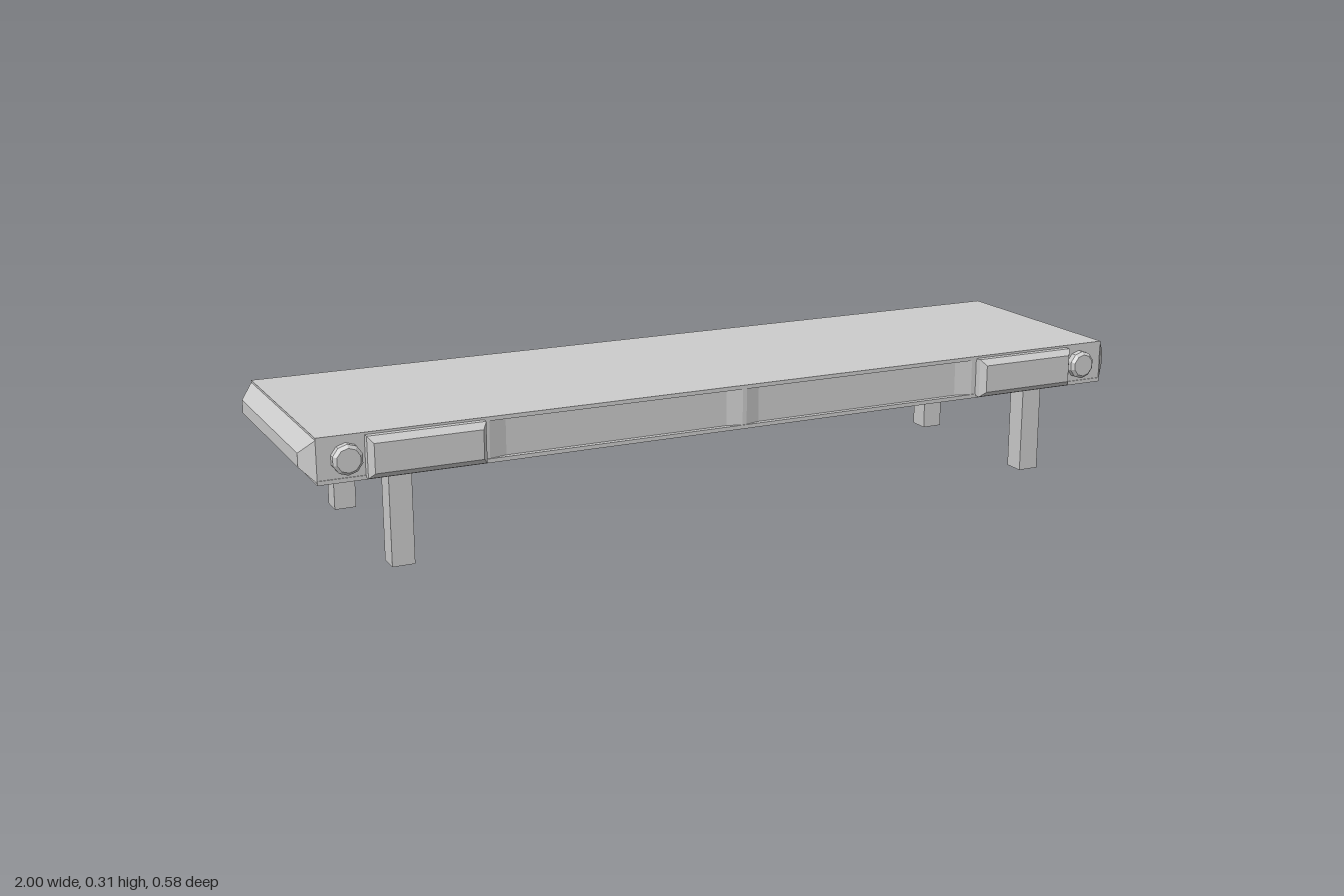
import * as THREE from 'three';

const material = new THREE.MeshStandardMaterial({ color: 0xcccccc, flatShading: true });

// Box whose +z face is narrowed; the base lies on z = 0
function taperedBox(w, h, d, topW, topH) {
  const g = new THREE.BoxGeometry(w, h, d).translate(0, 0, d / 2);
  const p = g.attributes.position;
  for (let i = 0; i < p.count; i++) {
    if (p.getZ(i) > d / 2) {
      p.setX(i, Math.sign(p.getX(i)) * topW / 2);
      p.setY(i, Math.sign(p.getY(i)) * topH / 2);
    }
  }
  g.computeVertexNormals();
  return g;
}

export function createModel() {
  const group = new THREE.Group();
  const add = (name, geometry, x, y, z, parent = group) => {
    const mesh = new THREE.Mesh(geometry, material);
    mesh.name = name;
    mesh.position.set(x, y, z);
    parent.add(mesh);
    return mesh;
  };
  const midY = 0.255;

  // Deck core: plan outline with two shallow bevelled recesses per long side
  const edge = [[-0.97, 0.26], [-0.6, 0.26], [-0.56, 0.25], [-0.04, 0.25], [-0.005, 0.26],
    [0.005, 0.26], [0.04, 0.25], [0.56, 0.25], [0.6, 0.26], [0.97, 0.26]];
  const outline = [...edge, ...edge.map(([x, z]) => [-x, -z])].map(([x, z]) => new THREE.Vector2(x, z));
  const core = new THREE.ExtrudeGeometry(new THREE.Shape(outline), { depth: 0.084, bevelEnabled: false });
  core.rotateX(Math.PI / 2);
  add('deckCore', core, 0, midY + 0.042, 0);

  // Top and bottom plates, whose edges form the lips of the recesses
  for (const s of [1, -1]) {
    add(s > 0 ? 'topPlate' : 'bottomPlate', new THREE.BoxGeometry(1.94, 0.009, 0.524), 0, midY + s * 0.0455, 0);
  }

  // Bevelled caps on both ends
  for (const s of [1, -1]) {
    const cap = add('endCap', taperedBox(0.524, 0.09, 0.03, 0.464, 0.03), s * 0.97, midY, 0);
    cap.rotation.y = s * Math.PI / 2;
  }

  // Side fittings, the same on both long sides
  for (const side of [1, -1]) {
    const fittings = new THREE.Group();
    fittings.name = side > 0 ? 'frontFittings' : 'backFittings';
    fittings.rotation.y = side > 0 ? 0 : Math.PI;
    group.add(fittings);
    for (const s of [1, -1]) {
      // Raised bevelled pad
      add('sidePadBase', new THREE.BoxGeometry(0.256, 0.09, 0.018), s * 0.74, midY, 0.267, fittings);
      add('sidePad', taperedBox(0.256, 0.09, 0.014, 0.234, 0.064), s * 0.74, midY, 0.276, fittings);
      // Round bolt with a chamfered head
      const bolt = new THREE.CylinderGeometry(0.033, 0.033, 0.016, 10).rotateX(Math.PI / 2);
      add('bolt', bolt, s * 0.908, midY, 0.266, fittings);
      const head = new THREE.CylinderGeometry(0.026, 0.033, 0.007, 10).rotateX(Math.PI / 2);
      add('boltHead', head, s * 0.908, midY, 0.2775, fittings);
    }
  }

  // Four square legs
  for (const x of [-0.79, 0.79]) {
    for (const z of [-0.214, 0.214]) {
      add('leg', new THREE.BoxGeometry(0.05, 0.21, 0.05), x, 0.105, z);
    }
  }
  return group;
}
